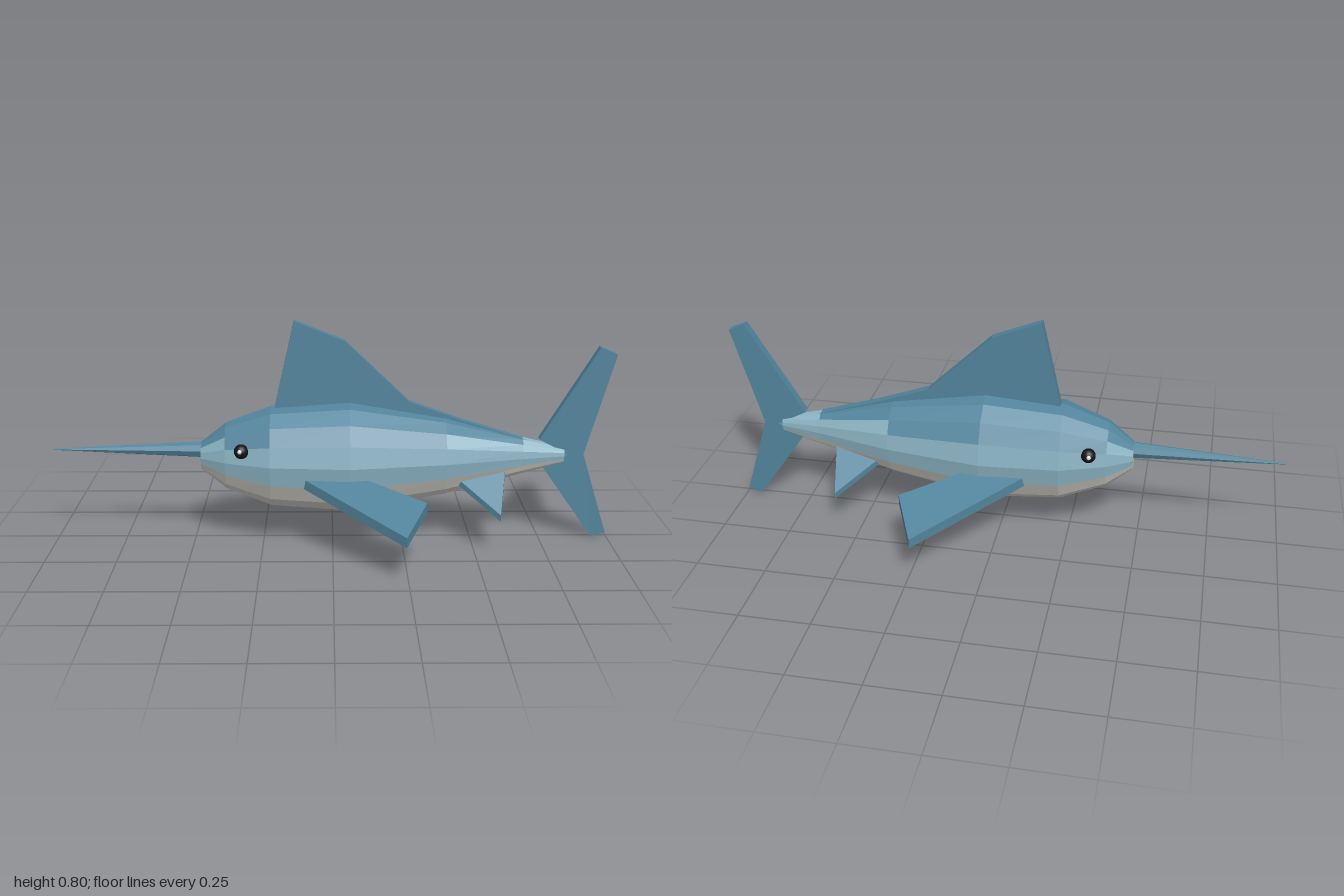
import * as THREE from 'three';

const mat = (name, color, extra = {}) => {
  const m = new THREE.MeshStandardMaterial({ color, ...extra });
  m.name = name;
  return m;
};

export function createModel() {
  const fish = new THREE.Group();
  fish.name = 'fish';
  const blue = mat('deep blue', 0x52849c, { flatShading: true });
  const pale = mat('pale blue', 0x8ab2c2, { flatShading: true });
  const grey = mat('belly white', 0xd6d3cb, { flatShading: true });
  const black = mat('eye black', 0x141416);
  const white = mat('eye glint', 0xf8f8f8);

  const add = (name, geometry, material) => {
    const mesh = new THREE.Mesh(geometry, material);
    mesh.name = name;
    fish.add(mesh);
    return mesh;
  };

  // Body: elliptical rings [x, centre y, half height, half width] from nose to tail
  const rings = [
    [-0.47, 0.31, 0, 0], [-0.47, 0.31, 0.05, 0.045], [-0.38, 0.31, 0.122, 0.1],
    [-0.22, 0.309, 0.182, 0.155], [0.06, 0.308, 0.203, 0.172], [0.4, 0.31, 0.143, 0.125],
    [0.68, 0.308, 0.068, 0.05], [0.83, 0.31, 0.03, 0.024], [0.83, 0.31, 0, 0],
  ];
  const sides = 16;
  const point = ([x, y, h, w], j) => {
    const t = (j / sides) * Math.PI * 2;
    return [x, y + h * Math.cos(t), w * Math.sin(t)];
  };
  // The lowest six facets of each ring are belly; the high ones above are back
  const zones = { back: [], flank: [], belly: [] };
  for (let i = 0; i < rings.length - 1; i++) {
    for (let j = 0; j < sides; j++) {
      const a = point(rings[i], j), b = point(rings[i], j + 1);
      const c = point(rings[i + 1], j), d = point(rings[i + 1], j + 1);
      const y = (a[1] + b[1] + c[1] + d[1]) / 4;
      const low = j >= 5 && j <= 10 && rings[i + 1][2] > 0;
      const zone = low ? 'belly' : y > 0.375 ? 'back' : 'flank';
      if (rings[i][2] > 0) zones[zone].push(...a, ...b, ...c);
      if (rings[i + 1][2] > 0) zones[zone].push(...b, ...d, ...c);
    }
  }
  const zoneMaterials = { back: blue, flank: pale, belly: grey };
  for (const name in zones) {
    const g = new THREE.BufferGeometry();
    g.setAttribute('position', new THREE.Float32BufferAttribute(zones[name], 3));
    g.computeVertexNormals();
    add(name, g, zoneMaterials[name]);
  }

  // Bill
  const bill = add('bill', new THREE.CylinderGeometry(0.002, 0.03, 0.54, 8), blue);
  bill.rotation.z = Math.PI / 2;
  bill.position.set(-0.73, 0.332, 0);

  // Fins are slabs cut from an outline
  const slab = (points, depth) => new THREE.ExtrudeGeometry(
    new THREE.Shape(points.map(([x, y]) => new THREE.Vector2(x, y))),
    { depth, bevelEnabled: false });

  add('dorsalFin', slab([
    [-0.21, 0.47], [-0.135, 0.8], [0.04, 0.73], [0.27, 0.51],
    [0.45, 0.445], [0.72, 0.36], [0.4, 0.4], [0.06, 0.45],
  ], 0.032).translate(0, 0, -0.016), blue);

  add('tailFin', slab([
    [0.74, 0.37], [0.94, 0.705], [1, 0.68], [0.9, 0.315],
    [0.995, 0.017], [0.945, 0], [0.75, 0.275], [0.85, 0.312],
  ], 0.032).translate(0, 0, -0.016), blue);

  // Paired fins: flat outlines in x and z that droop away from the body
  const sideFin = (name, points, thick, top, slope, side) => {
    const g = slab(points.map(([x, z]) => [x, z * side]), thick).rotateX(Math.PI / 2);
    const p = g.attributes.position;
    for (let i = 0; i < p.count; i++) {
      p.setY(i, p.getY(i) + top - slope * Math.abs(p.getZ(i)));
    }
    g.computeVertexNormals();
    add(name, g, blue);
  };

  for (const side of [1, -1]) {
    const label = side > 0 ? 'Front' : 'Rear';
    sideFin('pectoralFin' + label,
      [[-0.14, 0.11], [-0.09, 0.16], [0.24, 0.46], [0.32, 0.28], [0.13, 0.16], [0.06, 0.11]],
      0.035, 0.313, 0.315, side);
    sideFin('pelvicFin' + label,
      [[0.41, 0.05], [0.585, 0.195], [0.615, 0.05]], 0.022, 0.308, 0.82, side);

    // Eyes with a small glint
    add('eye' + label, new THREE.SphereGeometry(0.026, 16, 12), black)
      .position.set(-0.32, 0.357, 0.113 * side);
    add('glint' + label, new THREE.SphereGeometry(0.008, 10, 8), white)
      .position.set(-0.324, 0.362, 0.137 * side);
  }
  return fish;
}
